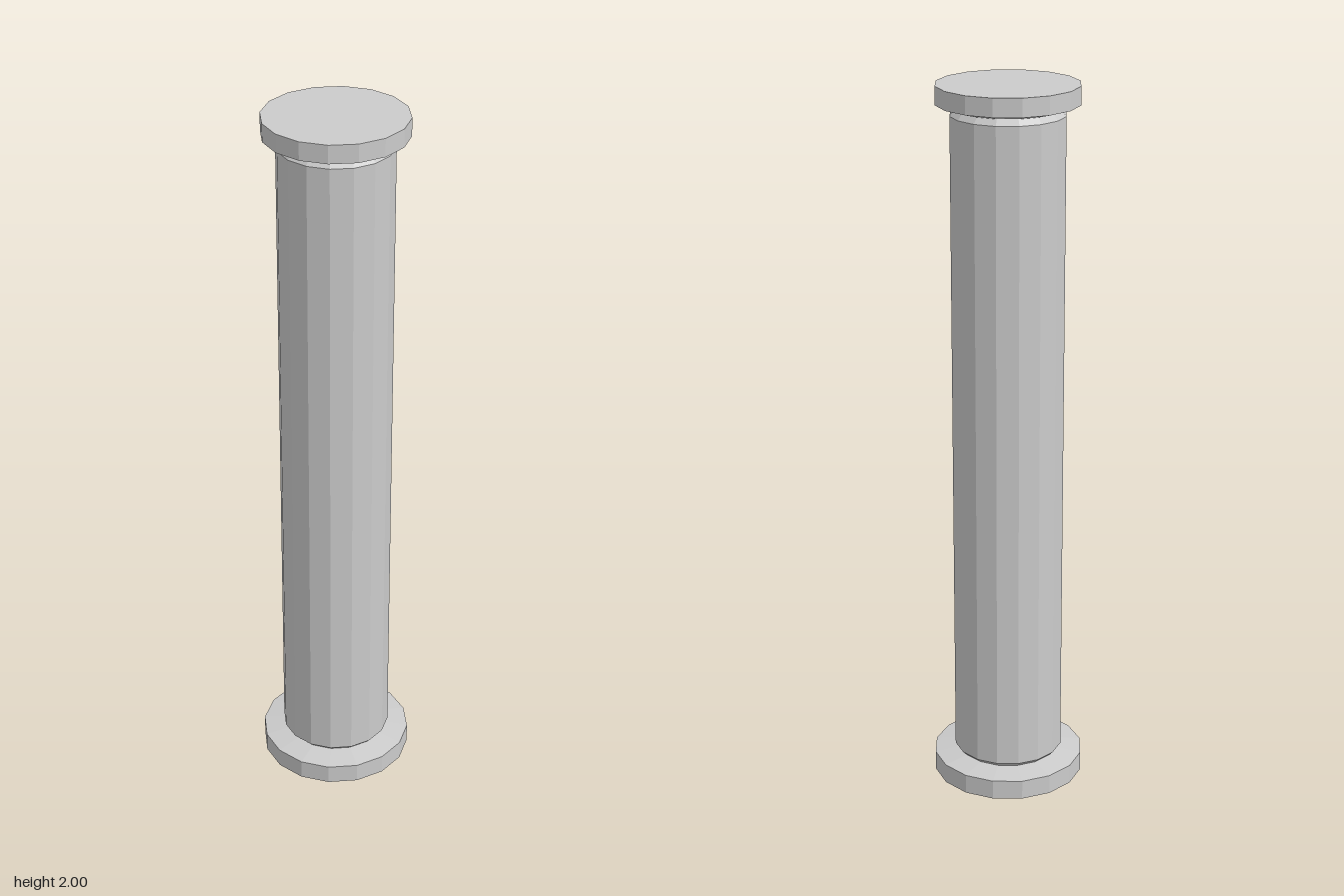
import * as THREE from 'three';

const SIDES = 16;

// Faceted solid of revolution from [radius, height] pairs, listed bottom to top
function turned(name, profile) {
  const points = profile.map(([r, y]) => new THREE.Vector2(r, y));
  const material = new THREE.MeshStandardMaterial({ color: 0xcccccc, flatShading: true });
  const mesh = new THREE.Mesh(new THREE.LatheGeometry(points, SIDES), material);
  mesh.name = name;
  return mesh;
}

export function createModel() {
  const column = new THREE.Group();
  column.name = 'column';

  // Wide foot, sloping in to a narrow neck
  column.add(turned('base', [[0, 0], [0.214, 0], [0.214, 0.056], [0.142, 0.067]]));

  // Straight shaft with small chamfers at both ends
  column.add(turned('shaft', [[0.142, 0.067], [0.155, 0.08], [0.155, 1.92], [0.142, 1.936]]));

  // Capital, flaring from the neck to a flat top
  column.add(turned('capital', [[0.142, 1.936], [0.193, 1.95], [0.193, 2], [0, 2]]));

  return column;
}
